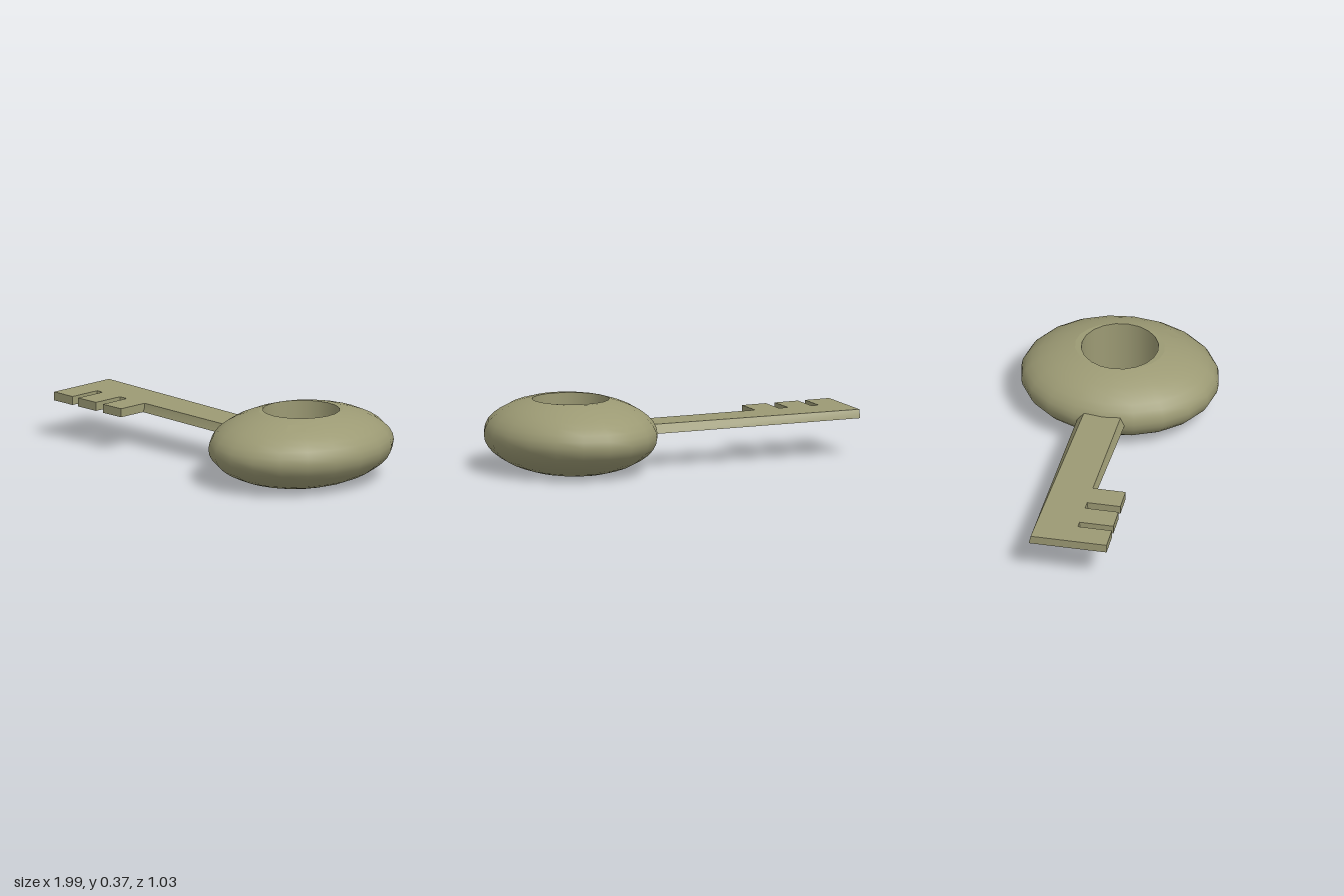
import * as THREE from 'three';

const material = new THREE.MeshStandardMaterial({ color: 0x9c9a74, side: THREE.DoubleSide });
const RX = 0.44, RY = 0.208, RZ = 0.517, HOLE = 0.2, SIDES = 20;
const CUT = THREE.MathUtils.degToRad(27); // polar angle where the bow is sliced flat
const CAP = RY * Math.cos(CUT);

function add(parent, name, geometry) {
  const mesh = new THREE.Mesh(geometry, material);
  mesh.name = name;
  parent.add(mesh);
  return mesh;
}

// Box whose corners are moved by a rule; rule(u, top, front) returns [x, y, z]
function shapedBox(rule) {
  const g = new THREE.BoxGeometry(1, 1, 1);
  const p = g.attributes.position;
  for (let i = 0; i < p.count; i++) {
    p.setXYZ(i, ...rule(p.getX(i) + 0.5, p.getY(i) > 0, p.getZ(i) > 0));
  }
  g.computeVertexNormals();
  return g;
}

// The blade droops slightly towards the bow
const heightAt = (x, top) => 0.2175 - 0.0134 * (x + 1) + (top ? 0.0225 : -0.0225);

// Flat ring between the oval rim and the round hole
function rimRing(side) {
  const g = new THREE.RingGeometry(HOLE, 1, SIDES, 1);
  const p = g.attributes.position;
  for (let i = 0; i < p.count; i++) {
    const x = p.getX(i), y = p.getY(i);
    if (Math.hypot(x, y) > 0.5) p.setXY(i, x * RX * Math.sin(CUT), y * RZ * Math.sin(CUT));
  }
  g.rotateX(-side * Math.PI / 2);
  g.translate(0, side * CAP, 0);
  return g;
}

// One flat facet lying on the bow's surface
function facet() {
  const point = (around, up) => {
    const a = THREE.MathUtils.degToRad(around), t = THREE.MathUtils.degToRad(up);
    return [RX * Math.cos(t) * Math.cos(a), RY * Math.sin(t) + 0.001, RZ * Math.cos(t) * Math.sin(a)];
  };
  const c = [point(36, 45), point(36, 54), point(54, 54), point(54, 45)];
  const g = new THREE.BufferGeometry();
  const order = [0, 1, 2, 0, 2, 3].reverse();
  g.setAttribute('position', new THREE.Float32BufferAttribute(order.flatMap(i => c[i]), 3));
  g.computeVertexNormals();
  // keep the visible side upward
  if (g.attributes.normal.getY(0) < 0) {
    g.setAttribute('position', new THREE.Float32BufferAttribute(order.reverse().flatMap(i => c[i]), 3));
    g.computeVertexNormals();
  }
  return g;
}

export function createModel() {
  const key = new THREE.Group();
  key.name = 'key';

  // Bow: squashed sphere, sliced flat and pierced
  const bow = new THREE.Group();
  bow.name = 'bow';
  bow.position.set(0.553, CAP, 0);
  key.add(bow);
  const shell = new THREE.SphereGeometry(1, SIDES, 14, 0, Math.PI * 2, CUT, Math.PI - 2 * CUT);
  add(bow, 'bowShell', shell.scale(RX, RY, RZ));
  add(bow, 'holeWall', new THREE.CylinderGeometry(HOLE, HOLE, 2 * CAP, SIDES, 1, true));
  add(bow, 'topRim', rimRing(1));
  add(bow, 'bottomRim', rimRing(-1));
  add(bow, 'bowFacet', facet());

  // Blade: flat bar whose bevelled edges widen towards the bow
  add(key, 'blade', shapedBox((u, top, front) => {
    const x = THREE.MathUtils.lerp(-1, 0.2, u);
    const ends = front ? (top ? [0.066, 0.09] : [0.07, 0.113]) : (top ? [-0.152, -0.102] : [-0.162, -0.139]);
    return [x, heightAt(x, top), THREE.MathUtils.lerp(ends[0], ends[1], u)];
  }));

  // Teeth
  for (const [x0, x1] of [[-1, -0.865], [-0.825, -0.695], [-0.645, -0.512]]) {
    add(key, 'tooth', shapedBox((u, top, front) => {
      const x = THREE.MathUtils.lerp(x0, x1, u);
      return [x, heightAt(x, top), front ? 0.248 : 0.066];
    }));
  }
  return key;
}
